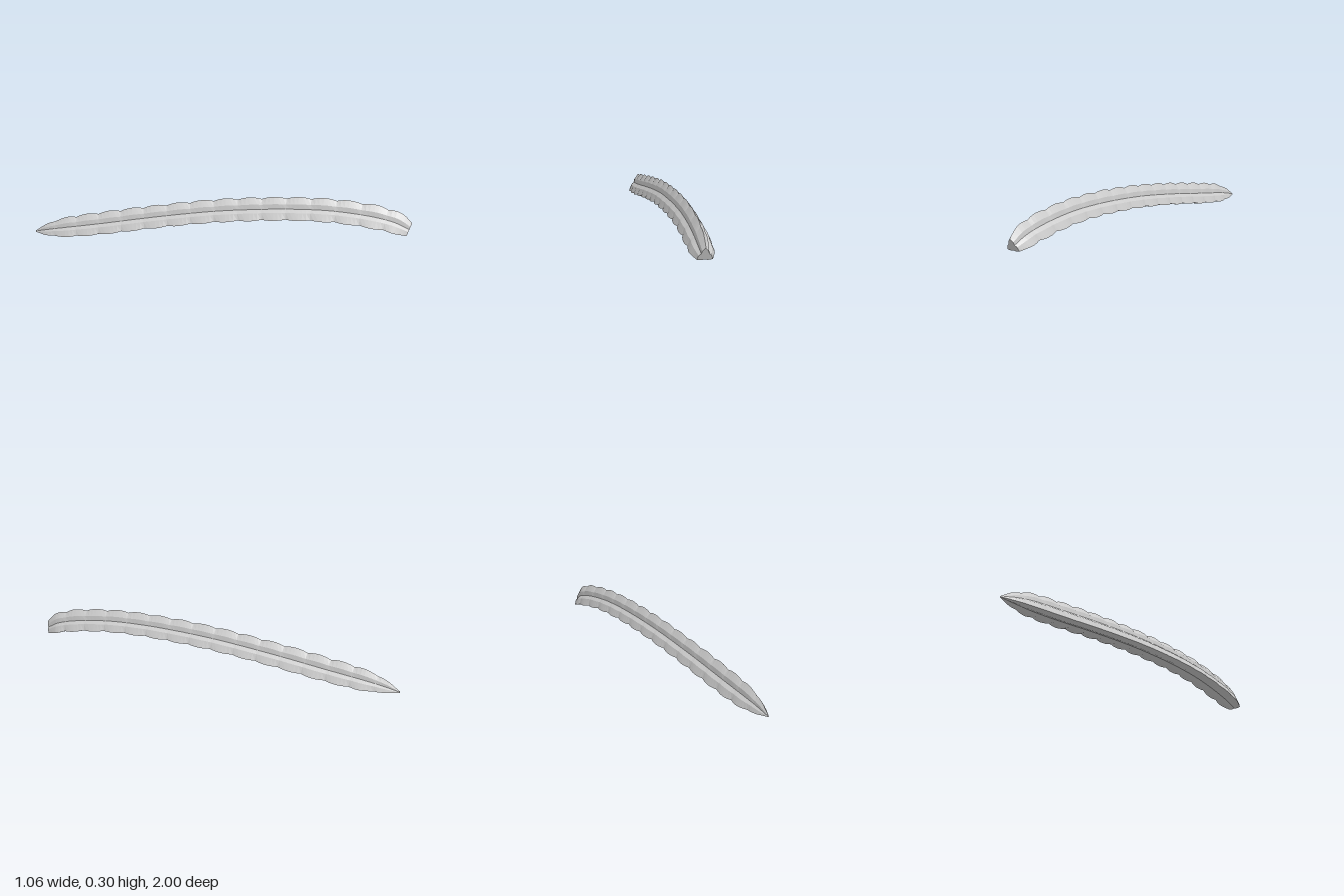
import * as THREE from 'three';

const LOBES = 16, STEPS = 6, RINGS = LOBES * STEPS, SIDES = 12;

// linear lookup in [t, value] pairs
function sample(table, t) {
  for (let i = 1; i < table.length; i++) {
    const [t0, v0] = table[i - 1], [t1, v1] = table[i];
    if (t <= t1) return v0 + (v1 - v0) * (t - t0) / (t1 - t0);
  }
  return table[table.length - 1][1];
}

// arching centre line
const spine = new THREE.CatmullRomCurve3(
  [[-0.53, 0.014, -1], [-0.493, 0.03, -0.9], [-0.446, 0.046, -0.8], [-0.342, 0.081, -0.6],
    [-0.234, 0.12, -0.4], [-0.125, 0.156, -0.2], [-0.017, 0.187, 0], [0.088, 0.208, 0.2],
    [0.193, 0.221, 0.4], [0.298, 0.221, 0.6], [0.401, 0.199, 0.8], [0.456, 0.173, 0.91],
    [0.491, 0.141, 0.98]]
    .map((p) => new THREE.Vector3(...p)));

// rib radius: pointed tip, even body, blunt cut end
const envelope = [[0, 0.005], [0.03, 0.036], [0.06, 0.058], [0.1, 0.074], [0.15, 0.08], [0.22, 0.083],
  [0.92, 0.083], [0.965, 0.077], [1, 0.054]];

function createStemGeometry() {
  const pos = [], index = [];
  const up = new THREE.Vector3(0, 1, 0);
  const add = (p) => pos.push(p.x, p.y, p.z);
  for (let i = 0; i <= RINGS; i++) {
    const t = i / RINGS;
    const centre = spine.getPointAt(t), tangent = spine.getTangentAt(t);
    const side = up.clone().cross(tangent).normalize();
    const normal = tangent.clone().cross(side);
    const base = sample(envelope, t);
    const scallop = Math.pow(Math.abs(Math.sin(Math.PI * LOBES * t)), 0.8);
    // three scalloped ribs: crest, shoulder, groove, shoulder
    const radii = [base * (0.87 + 0.13 * scallop), base * (0.6 + 0.04 * scallop), base * 0.43];
    for (let j = 0; j < SIDES; j++) {
      const k = j % 4, r = radii[k === 3 ? 1 : k];
      const a = Math.PI / 2 + j / SIDES * Math.PI * 2;
      add(centre.clone().addScaledVector(side, r * Math.cos(a)).addScaledVector(normal, r * Math.sin(a)));
    }
  }
  for (let i = 0; i < RINGS; i++) {
    for (let j = 0; j < SIDES; j++) {
      const n = (j + 1) % SIDES;
      const a = i * SIDES + j, b = i * SIDES + n, c = b + SIDES, d = a + SIDES;
      index.push(a, b, c, a, c, d);
    }
  }
  // tip and cut end
  const tip = pos.length / 3;
  add(spine.getPointAt(0));
  add(spine.getPointAt(1));
  for (let j = 0; j < SIDES; j++) {
    const n = (j + 1) % SIDES, last = RINGS * SIDES;
    index.push(tip, n, j, tip + 1, last + j, last + n);
  }
  const geometry = new THREE.BufferGeometry();
  geometry.setAttribute('position', new THREE.Float32BufferAttribute(pos, 3));
  geometry.setIndex(index);
  // separate the faces for crisp facets
  const faceted = geometry.toNonIndexed();
  faceted.computeVertexNormals();
  return faceted;
}

export function createModel() {
  const group = new THREE.Group();
  group.name = 'cactusBranch';
  const grey = new THREE.MeshStandardMaterial({ color: 0xcccccc });
  grey.name = 'stemGrey';
  const stem = new THREE.Mesh(createStemGeometry(), grey);
  stem.name = 'ribbedStem';
  group.add(stem);
  return group;
}
